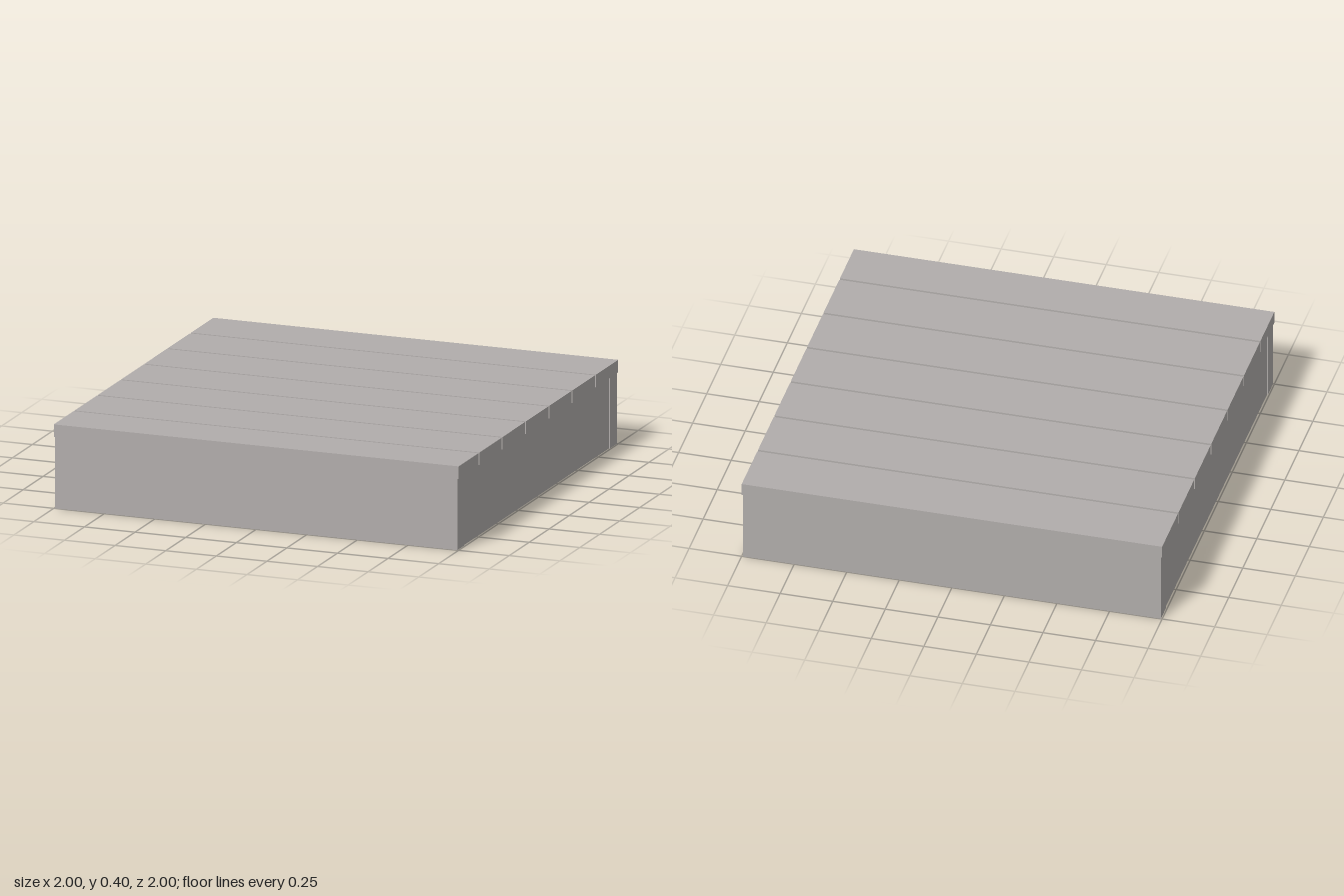
import * as THREE from 'three';

export function createModel() {
  const model = new THREE.Group();
  model.name = 'slattedPlatform';
  const greyWood = new THREE.MeshStandardMaterial({ color: 0xb1adab });
  greyWood.name = 'greyWood';

  const height = 0.4, slatThickness = 0.06, beamThickness = 0.09;
  const frameHeight = height - slatThickness;

  // Box given by its low and high corners
  function board(name, x0, x1, y0, y1, z0, z1) {
    const mesh = new THREE.Mesh(new THREE.BoxGeometry(x1 - x0, y1 - y0, z1 - z0), greyWood);
    mesh.position.set((x0 + x1) / 2, (y0 + y1) / 2, (z0 + z1) / 2);
    mesh.name = name;
    model.add(mesh);
  }

  // Top slats, the front one cut narrower to finish flush
  const pitch = 0.292, slatWidth = 0.28;
  for (let i = 0; i < 7; i++) {
    const z = -1 + i * pitch;
    board('topSlat' + (i + 1), -1, 1, frameHeight, height, z, Math.min(z + slatWidth, 1));
  }

  // Front and back beams
  const inner = 1 - beamThickness;
  board('frontBeam', -0.994, 0.994, 0, frameHeight, inner, 1);
  board('backBeam', -0.994, 0.994, 0, frameHeight, -1, -inner);

  // Joists between the beams: right, middle, left
  ['rightJoist', 'middleJoist', 'leftJoist'].forEach((name, i) => {
    const x = (i - 1) * 0.947;
    board(name, x - 0.043, x + 0.043, 0, frameHeight, -inner, inner);
  });

  return model;
}
